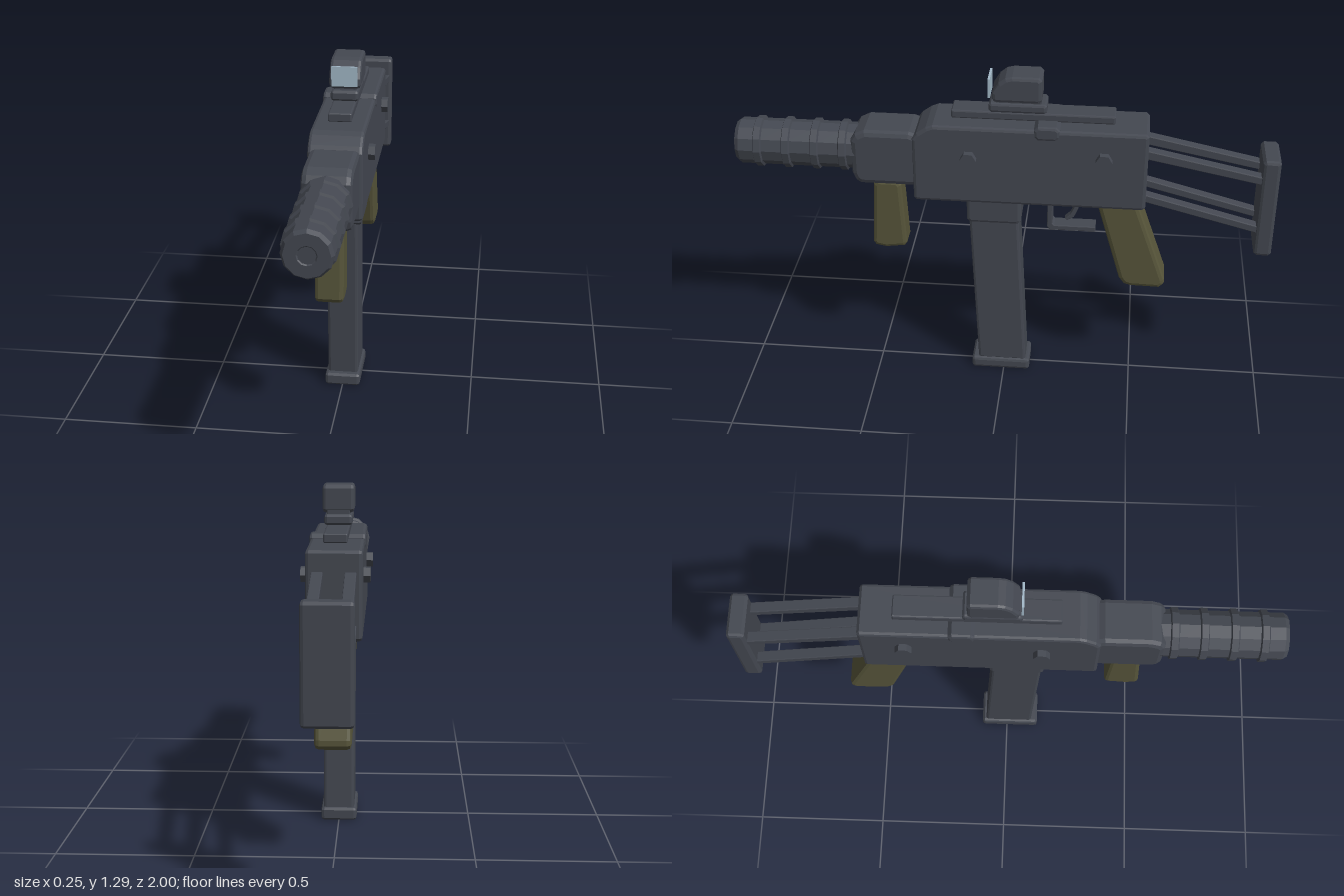
import * as THREE from 'three';

const metal = new THREE.MeshStandardMaterial({ color: 0x444851 });
metal.name = 'gunmetal';
const olive = new THREE.MeshStandardMaterial({ color: 0x57553a });
olive.name = 'olive grip';
const glass = new THREE.MeshStandardMaterial({ color: 0xa3b9c8 });
glass.name = 'lens glass';

export function createModel() {
  const group = new THREE.Group();

  function add(name, geometry, material = metal) {
    const mesh = new THREE.Mesh(geometry, material);
    mesh.name = name;
    group.add(mesh);
    return mesh;
  }

  // Side profile of [z, y] points, extruded across x with bevelled edges
  function prism(name, points, halfWidth, bevel = 0.01, material = metal, x = 0) {
    const shape = new THREE.Shape(points.map(([z, y]) => new THREE.Vector2(z, y)));
    const geometry = new THREE.ExtrudeGeometry(shape, {
      depth: 2 * (halfWidth - bevel),
      bevelEnabled: bevel > 0,
      bevelThickness: bevel,
      bevelSize: bevel,
      bevelOffset: -bevel,
      bevelSegments: 2,
    });
    geometry.translate(0, 0, bevel - halfWidth);
    geometry.rotateY(-Math.PI / 2);
    geometry.translate(x, 0, 0);
    return add(name, geometry, material);
  }

  // Bevelled block given by its z and y ranges, with small cut corners
  function block(name, z0, z1, y0, y1, halfWidth, bevel = 0.01, cut = 0.008) {
    return prism(name, [
      [z0 + cut, y0], [z1 - cut, y0], [z1, y0 + cut], [z1, y1 - cut],
      [z1 - cut, y1], [z0 + cut, y1], [z0, y1 - cut], [z0, y0 + cut],
    ], halfWidth, bevel);
  }

  // Receiver and handguard
  prism('receiver', [
    [-0.525, 0.8], [-0.515, 0.79], [0.322, 0.79], [0.332, 0.8], [0.332, 1.045],
    [0.315, 1.068], [0.28, 1.093], [0.255, 1.103], [-0.515, 1.103], [-0.525, 1.093],
  ], 0.098, 0.012);
  prism('handguard', [
    [0.31, 0.842], [0.53, 0.842], [0.55, 0.855], [0.562, 0.885], [0.562, 1.02],
    [0.545, 1.045], [0.51, 1.062], [0.345, 1.062], [0.31, 1.05],
  ], 0.088, 0.02);

  // Barrel shroud with raised rings
  const barrel = [[0, 0.54], [0.086, 0.54]];
  for (const z of [0.595, 0.7, 0.807, 0.914]) {
    barrel.push([0.086, z - 0.016], [0.095, z - 0.012], [0.095, z + 0.012], [0.086, z + 0.016]);
  }
  barrel.push([0.086, 0.985], [0.076, 1.0], [0.034, 1.0], [0.03, 0.996], [0, 0.996]);
  let barrelGeometry = new THREE.LatheGeometry(
    barrel.map(([r, z]) => new THREE.Vector2(r, z)), 12);
  barrelGeometry.rotateX(Math.PI / 2);
  barrelGeometry = barrelGeometry.toNonIndexed();
  barrelGeometry.computeVertexNormals();
  add('barrelShroud', barrelGeometry).position.y = 0.96;

  // Magazine well, leaning magazine and its floor plate
  block('magazineWell', -0.066, 0.138, 0.69, 0.81, 0.075, 0.012, 0.012);
  prism('magazine', [[-0.087, 0.04], [0.1, 0.04], [0.132, 0.72], [-0.055, 0.72]], 0.058, 0.01);
  block('magazineBase', -0.102, 0.126, 0.005, 0.053, 0.068, 0.012);
  group.getObjectByName('magazineBase').position.y = -0.005;

  // Grips
  prism('frontGrip', [
    [0.387, 0.82], [0.374, 0.565], [0.382, 0.552], [0.455, 0.542], [0.495, 0.55],
    [0.505, 0.565], [0.491, 0.82], [0.478, 0.838], [0.4, 0.838],
  ], 0.051, 0.014, olive);
  prism('rearGrip', [
    [-0.35, 0.805], [-0.495, 0.805], [-0.615, 0.465], [-0.615, 0.445], [-0.597, 0.428],
    [-0.485, 0.43], [-0.46, 0.438], [-0.442, 0.462], [-0.35, 0.78],
  ], 0.064, 0.016, olive);

  // Trigger and its guard
  prism('triggerGuard', [
    [-0.162, 0.8], [-0.162, 0.66], [-0.172, 0.648], [-0.345, 0.648], [-0.345, 0.668],
    [-0.19, 0.668], [-0.182, 0.676], [-0.182, 0.8],
  ], 0.03, 0.003);
  prism('trigger', [
    [-0.255, 0.8], [-0.262, 0.74], [-0.248, 0.71], [-0.228, 0.69], [-0.238, 0.685],
    [-0.262, 0.7], [-0.277, 0.735], [-0.285, 0.8],
  ], 0.015, 0.002);

  // Open stock: two pairs of sloping rods and a butt plate
  for (const side of [-1, 1]) {
    prism('upperStockRod', [[-0.5, 1.0], [-0.95, 0.91], [-0.95, 0.94], [-0.5, 1.035]],
      0.02, 0.003, metal, side * 0.057);
    prism('lowerStockRod', [[-0.5, 0.823], [-0.95, 0.705], [-0.95, 0.733], [-0.5, 0.853]],
      0.02, 0.003, metal, side * 0.057);
  }
  block('buttPlate', -1.0, -0.935, 0.612, 1.012, 0.085, 0.012, 0.01);

  // Cross pins
  for (const [z, y] of [[0.125, 0.98], [-0.367, 0.998]]) {
    const pin = new THREE.CylinderGeometry(0.03, 0.03, 0.245, 6).toNonIndexed();
    pin.computeVertexNormals();
    pin.rotateZ(Math.PI / 2);
    add('crossPin', pin).position.set(0, y, z);
  }

  // Top rail, latch and sight
  block('topRail', -0.402, 0.192, 1.112, 1.144, 0.043, 0.006, 0.004);
  block('topLatch', -0.206, -0.112, 1.064, 1.118, 0.102, 0.01, 0.014);
  block('sightBase', -0.155, 0.055, 1.144, 1.182, 0.051, 0.01);
  block('sightNeck', -0.135, 0.03, 1.17, 1.2, 0.042, 0.004, 0.003);
  prism('sightHood', [
    [-0.127, 1.188], [0.035, 1.188], [0.043, 1.2], [0.043, 1.225], [0.02, 1.262],
    [-0.005, 1.282], [-0.03, 1.288], [-0.125, 1.288], [-0.137, 1.276], [-0.137, 1.2],
  ], 0.058, 0.012);
  add('sightLens', new THREE.BoxGeometry(0.094, 0.074, 0.008), glass).position.set(0, 1.238, 0.054);

  return group;
}
